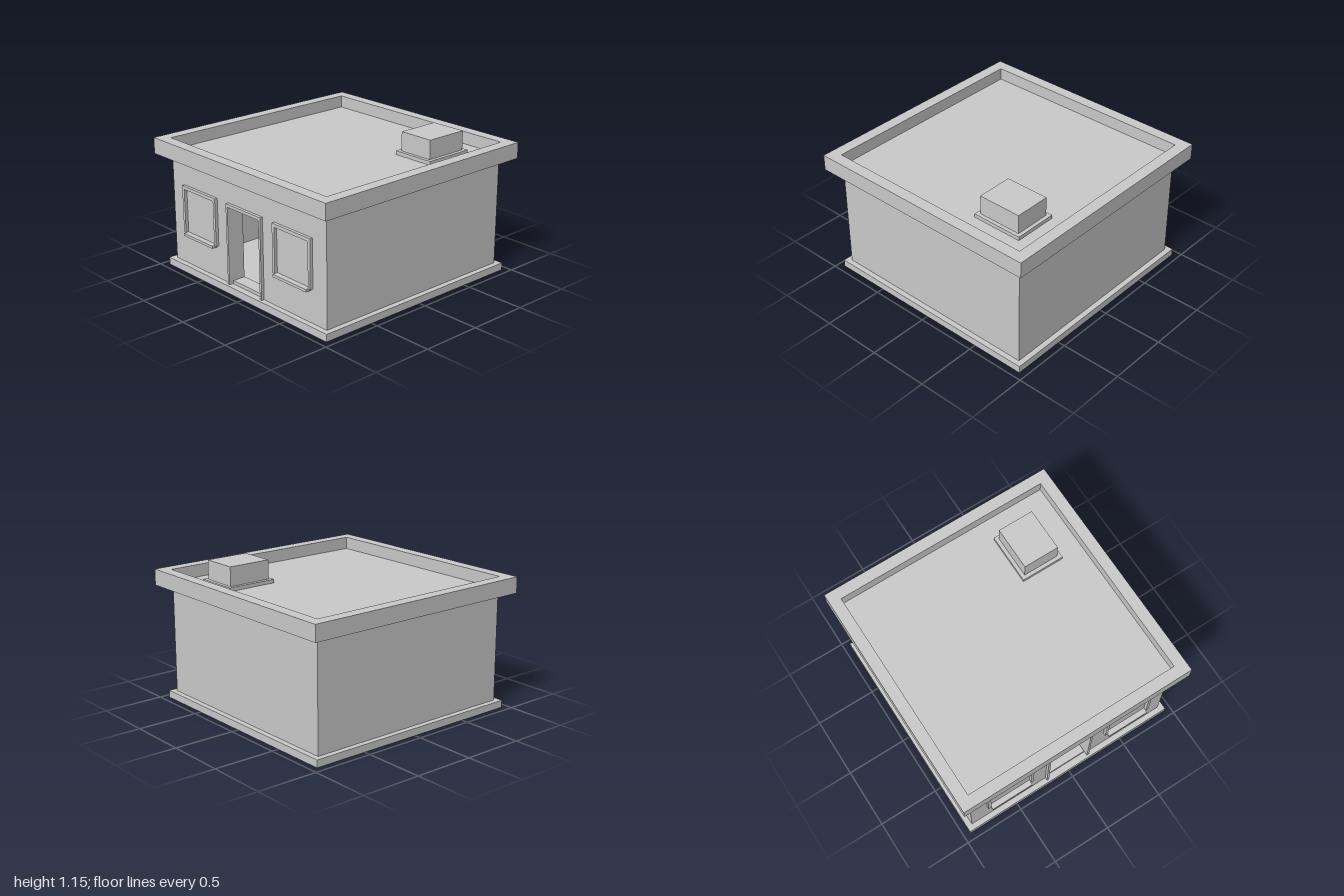
import * as THREE from 'three';

const material = new THREE.MeshStandardMaterial({ color: 0xcccccc, flatShading: true });

const WALL = 0.9;      // half width of the walls
const INNER = 0.78;    // half width of the room
const FLOOR = 0.06, CEILING = 0.94, ROOF_TOP = 1.07, DECK = 0.97;
const DOOR = 0.183, DOOR_TOP = 0.695;

// Box given by its minimum and maximum corners
function box(parent, name, [x0, y0, z0], [x1, y1, z1]) {
  const geometry = new THREE.BoxGeometry(x1 - x0, y1 - y0, z1 - z0);
  const mesh = new THREE.Mesh(geometry, material);
  mesh.position.set((x0 + x1) / 2, (y0 + y1) / 2, (z0 + z1) / 2);
  mesh.name = name;
  parent.add(mesh);
  return mesh;
}

function polygon(points, Type = THREE.Shape) {
  return new Type(points.map(([x, y]) => new THREE.Vector2(x, y)));
}

function square(half, Type) {
  return polygon([[-half, -half], [half, -half], [half, half], [-half, half]], Type);
}

function extrude(parent, name, shape, depth) {
  const geometry = new THREE.ExtrudeGeometry(shape, { depth, bevelEnabled: false });
  const mesh = new THREE.Mesh(geometry, material);
  mesh.name = name;
  parent.add(mesh);
  return mesh;
}

// Three-sided trim: two jambs and a head, open at the bottom
function trim(parent, name, halfIn, halfOut, bottom, topIn, topOut) {
  const shape = polygon([
    [-halfOut, bottom], [-halfIn, bottom], [-halfIn, topIn], [halfIn, topIn],
    [halfIn, bottom], [halfOut, bottom], [halfOut, topOut], [-halfOut, topOut],
  ]);
  const mesh = extrude(parent, name, shape, 0.025);
  mesh.position.z = WALL;
  return mesh;
}

export function createModel() {
  const house = new THREE.Group();
  house.name = 'house';

  // Base slab, which is also the floor of the room
  box(house, 'plinth', [-0.945, 0, -0.945], [0.945, FLOOR, 0.945]);

  // Front wall with the door opening
  const front = polygon([
    [-WALL, FLOOR], [-DOOR, FLOOR], [-DOOR, DOOR_TOP], [DOOR, DOOR_TOP],
    [DOOR, FLOOR], [WALL, FLOOR], [WALL, CEILING], [-WALL, CEILING],
  ]);
  extrude(house, 'frontWall', front, WALL - INNER).position.z = INNER;

  // Back and side walls as one U-shaped plan
  const plan = polygon([
    [-WALL, -INNER], [-INNER, -INNER], [-INNER, INNER], [INNER, INNER],
    [INNER, -INNER], [WALL, -INNER], [WALL, WALL], [-WALL, WALL],
  ]);
  const walls = extrude(house, 'backAndSideWalls', plan, CEILING - FLOOR);
  walls.rotation.x = -Math.PI / 2;
  walls.position.y = FLOOR;

  // Door surround and threshold
  const door = new THREE.Group();
  door.name = 'doorway';
  trim(door, 'doorFrame', DOOR, 0.203, FLOOR, DOOR_TOP, 0.72);
  box(door, 'threshold', [-0.178, FLOOR, INNER], [0.178, 0.088, 0.89]);
  house.add(door);

  // Windows: surround and projecting sill
  for (const side of [-1, 1]) {
    const win = new THREE.Group();
    win.name = side > 0 ? 'leftWindow' : 'rightWindow';
    trim(win, 'windowFrame', 0.183, 0.208, 0.33, 0.693, 0.72);
    box(win, 'windowSill', [-0.183, 0.31, WALL - 0.02], [0.183, 0.332, 0.945]);
    win.position.x = side * 0.545;
    house.add(win);
  }

  // Flat roof with a raised parapet
  box(house, 'roofDeck', [-0.908, CEILING, -0.908], [0.908, DECK, 0.908]);
  const ring = square(1);
  ring.holes.push(square(0.905, THREE.Path));
  const parapet = extrude(house, 'parapet', ring, ROOF_TOP - CEILING);
  parapet.rotation.x = -Math.PI / 2;
  parapet.position.y = CEILING;

  // Roof vent on its curb
  const vent = new THREE.Group();
  vent.name = 'roofVent';
  box(vent, 'ventCurb', [0.36, DECK, -0.735], [0.72, 1.0, -0.31]);
  box(vent, 'ventBox', [0.39, 1.0, -0.705], [0.69, 1.155, -0.34]);
  house.add(vent);

  return house;
}
